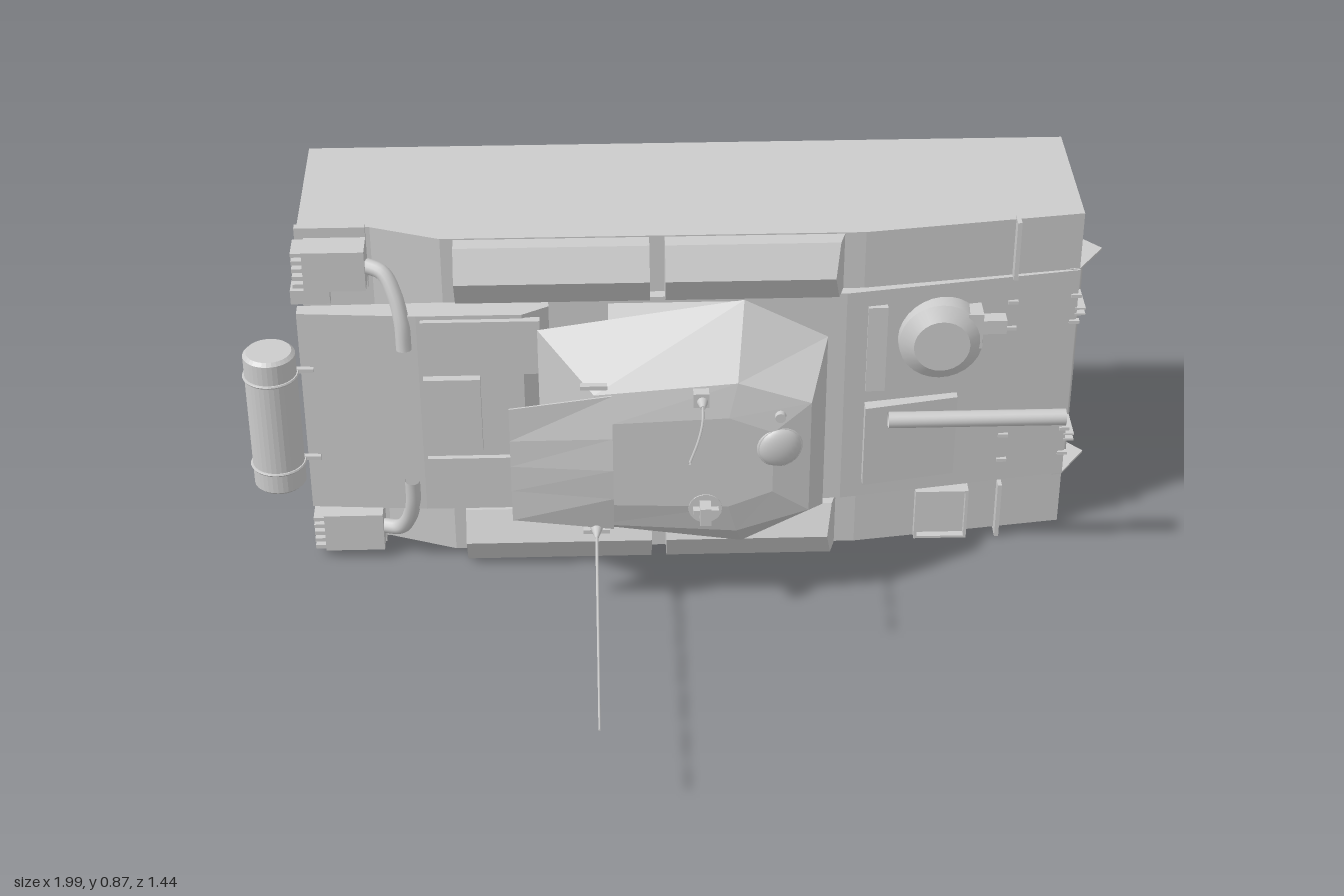
import * as THREE from 'three';

const MID = 0.435; // lateral centre line
const mat = new THREE.MeshStandardMaterial({ color: 0xcccccc, side: THREE.DoubleSide, flatShading: true });
const smooth = new THREE.MeshStandardMaterial({ color: 0xcccccc, side: THREE.DoubleSide });
const V = (x, y, z) => new THREE.Vector3(x, y, z);
const flip = (y, s) => MID + (y - MID) * s;

export function createModel() {
  const root = new THREE.Group();

  const add = (name, geo, material = mat) => {
    const m = new THREE.Mesh(geo, material);
    m.name = name;
    root.add(m);
    return m;
  };
  // Box from its extents
  const box = (name, x0, x1, y0, y1, z0, z1) => {
    const m = add(name, new THREE.BoxGeometry(x1 - x0, Math.abs(y1 - y0), z1 - z0));
    m.position.set((x0 + x1) / 2, (y0 + y1) / 2, (z0 + z1) / 2);
    return m;
  };
  // Profile in x,z extruded along y
  const slab = (name, pts, y0, y1) => {
    const shape = new THREE.Shape(pts.map(([x, z]) => new THREE.Vector2(x, -z)));
    const g = new THREE.ExtrudeGeometry(shape, { depth: Math.abs(y1 - y0), bevelEnabled: false });
    g.rotateX(-Math.PI / 2).translate(0, Math.min(y0, y1), 0);
    return add(name, g);
  };
  // Solid between two matching convex rings of points
  const loft = (name, a, b) => {
    const p = [];
    const tri = (...vs) => vs.forEach(v => p.push(...v));
    const n = a.length;
    for (let i = 0; i < n; i++) {
      const j = (i + 1) % n;
      tri(a[i], a[j], b[j]);
      tri(a[i], b[j], b[i]);
      if (i > 0 && i < n - 1) {
        tri(a[0], a[j], a[i]);
        tri(b[0], b[i], b[j]);
      }
    }
    const g = new THREE.BufferGeometry();
    g.setAttribute('position', new THREE.Float32BufferAttribute(p, 3));
    g.computeVertexNormals();
    return add(name, g);
  };
  const tube = (name, pts, r, seg = 20, sides = 10) =>
    add(name, new THREE.TubeGeometry(new THREE.CatmullRomCurve3(pts), seg, r, sides), smooth);
  // Upright (along z) cylinder or cone
  const post = (name, x, y, z0, z1, r0, r1 = r0, sides = 24) => {
    const g = new THREE.CylinderGeometry(r1, r0, z1 - z0, sides).rotateX(Math.PI / 2);
    return add(name, g.translate(x, y, (z0 + z1) / 2), smooth);
  };

  // Hull shell, open underneath
  const prof = [[-0.865, -0.72], [-0.865, -0.345], [-0.7, -0.335], [-0.54, -0.275],
    [0.42, -0.275], [0.925, -0.345], [0.925, -0.72]];
  const hp = [];
  for (let i = 0; i < prof.length - 1; i++) {
    const [ax, az] = prof[i], [bx, bz] = prof[i + 1];
    hp.push(ax, 0.01, az, bx, 0.01, bz, bx, 0.865, bz, ax, 0.01, az, bx, 0.865, bz, ax, 0.865, az);
  }
  const hg = new THREE.BufferGeometry();
  hg.setAttribute('position', new THREE.Float32BufferAttribute(hp, 3));
  hg.computeVertexNormals();
  add('hullShell', hg);
  const sideShape = new THREE.Shape(prof.map(([x, z]) => new THREE.Vector2(x, -z)));
  for (const y of [0.01, 0.865])
    add('hullSide', new THREE.ShapeGeometry(sideShape).rotateX(-Math.PI / 2).translate(0, y, 0));

  // Raised centre deck and sloping front plate
  slab('centreDeck', [[-0.3, -0.275], [-0.3, -0.25], [0.38, -0.25], [0.925, -0.338], [0.925, -0.348], [0.42, -0.277]], 0.155, 0.72);
  slab('engineDeck', [[-0.87, -0.27], [-0.87, -0.235], [-0.6, -0.215], [-0.36, -0.215], [-0.3, -0.25], [-0.3, -0.275], [-0.54, -0.275]], 0.17, 0.7);
  box('engineHatch', -0.59, -0.32, 0.55, 0.69, -0.22, -0.202);
  box('engineHatch', -0.59, -0.32, 0.18, 0.32, -0.22, -0.202);
  box('engineHatch', -0.59, -0.46, 0.335, 0.54, -0.22, -0.195);
  box('rearBracket', -0.89, -0.8, 0.675, 0.71, -0.37, -0.32);
  box('innerBracket', -0.865, -0.82, 0.4, 0.47, -0.4, -0.36);

  // Mirrored fittings on both sides
  for (const s of [1, -1]) {
    const f = y => flip(y, s);
    // Bevelled stowage bins
    const bin = [[0.72, -0.285], [0.72, -0.235], [0.79, -0.195], [0.862, -0.235], [0.862, -0.285]];
    for (const [x0, x1, t0, t1] of [[-0.51, -0.07, 0, 0], [-0.035, 0.375, 0, 0.3]])
      loft('stowageBin', bin.map(([y, z]) => [x0 + t0 * (z + 0.285), f(y), z]),
        bin.map(([y, z]) => [x1 - t1 * (z + 0.285), f(y), z]));

    // Exhaust silencer with fins and bent pipe
    box('rearFender', -0.87, -0.71, f(0.715), f(0.87), -0.345, -0.325);
    box('silencer', -0.85, -0.71, f(0.745), f(0.845), -0.33, -0.255);
    for (let i = 0; i < 5; i++) {
      const y = 0.752 + i * 0.02;
      box('silencerFin', -0.875, -0.85, f(y), f(y + 0.01), -0.325, -0.26);
    }
    tube('exhaustPipe', [V(-0.71, f(0.795), -0.285), V(-0.67, f(0.785), -0.265), V(-0.645, f(0.74), -0.24),
      V(-0.632, f(0.68), -0.22), V(-0.63, f(0.615), -0.212)], 0.018, 24, 12);

    // Front fender lip and towing plate
    box('fenderLip', 0.765, 0.775, f(0.72), f(0.87), -0.335, -0.295);
    slab('nosePlate', [[0.9, -0.338], [0.925, -0.343], [0.99, -0.435], [0.95, -0.48], [0.925, -0.48]], f(0.717), f(0.722));
    for (const y of [0.6, 0.615]) box('railBracket', 0.92, 0.945, f(y), f(y + 0.005), -0.42, -0.335);
    for (const x of [0.77, 0.92]) for (const y of [0.58, 0.65])
      box('plateHook', x - 0.012, x + 0.012, f(y), f(y + 0.008), -0.343, x < 0.8 ? -0.305 : -0.33);

    // Drum straps
    box('drumStrap', -0.94, -0.84, f(0.55), f(0.56), -0.235, -0.222);
    const strap = add('drumStrap', new THREE.TorusGeometry(0.061, 0.004, 6, 28).rotateX(Math.PI / 2));
    strap.position.set(-0.937, f(0.555), -0.215);

    // Turret hand holds
    box('handHold', -0.23, -0.17, f(0.625), f(0.635), -0.025, -0.01);
  }

  // Front rail
  tube('frontRail', [V(0.94, 0.155, -0.43), V(0.94, 0.72, -0.43)], 0.008, 1);

  // Fender locker frame
  box('locker', 0.57, 0.685, 0.02, 0.145, -0.31, -0.29);
  for (const x of [0.565, 0.685]) box('lockerRim', x, x + 0.007, 0.015, 0.15, -0.32, -0.272);
  for (const y of [0.015, 0.145]) box('lockerRim', 0.565, 0.692, y, y + 0.006, -0.32, -0.272);

  // Rear drum
  const drum = add('rearDrum', new THREE.LatheGeometry([[0, -0.18], [0.052, -0.18], [0.06, -0.172], [0.06, 0.172],
    [0.052, 0.18], [0, 0.18]].map(p => new THREE.Vector2(...p)), 32));
  drum.position.set(-0.937, 0.436, -0.215);

  // Driver's dome, periscope and front panels
  post('driverDome', 0.6, 0.587, -0.31, -0.25, 0.1, 0.097, 28);
  post('driverDomeCap', 0.6, 0.587, -0.25, -0.228, 0.097, 0.065, 28);
  box('driverPeriscope', 0.68, 0.75, 0.605, 0.64, -0.285, -0.25);
  box('domeBlock', 0.66, 0.695, 0.57, 0.66, -0.3, -0.245);
  box('visorEdge', 0.43, 0.475, 0.455, 0.68, -0.27, -0.25);
  slab('frontPanel', [[0.43, -0.275], [0.43, -0.228], [0.65, -0.272], [0.65, -0.31]], 0.205, 0.42);

  // Turret neck, body and roof cover
  const ring = (pts, z) => pts.map(([x, y]) => [x, MID + y, z]);
  const rect = (x0, x1, h) => [[x0, -h], [x1, -h], [x1, h], [x0, h]];
  loft('turretNeck', ring(rect(-0.165, 0.125, 0.3), -0.2), ring(rect(-0.165, 0.125, 0.28), -0.155));
  const outline = half => [...half.map(([x, y]) => [x, -y]), ...half.slice().reverse()];
  loft('turretBody', ring(outline([[-0.325, 0.26], [0.14, 0.33], [0.33, 0.23]]), -0.155),
    ring(outline([[-0.2, 0.175], [0.12, 0.2], [0.285, 0.145]]), -0.012));
  loft('turretRoof', ring(outline([[-0.2, 0.175], [0.12, 0.2], [0.285, 0.145]]), -0.012),
    ring(outline([[-0.16, 0.11], [0.1, 0.12], [0.2, 0.08]]), 0.006));
  const arch = (x, w, top, base) => [[x, MID - w, base], [x, MID - w, base + 0.004], [x, MID - w * 0.45, base + top * 0.8],
    [x, MID, base + top], [x, MID + w * 0.45, base + top * 0.8], [x, MID + w, base + 0.004], [x, MID + w, base]];
  loft('roofCover', arch(-0.39, 0.15, 0.008, -0.003), arch(-0.16, 0.18, 0.033, -0.003));

  // Roof hatches and sights
  const cupola = add('cupola', new THREE.SphereGeometry(0.05, 28, 14).scale(1, 1, 0.45), smooth);
  cupola.position.set(0.215, 0.472, -0.002);
  cupola.rotation.y = 0.15;
  const rim = add('cupolaRim', new THREE.TorusGeometry(0.047, 0.006, 8, 28), smooth);
  rim.position.set(0.215, 0.472, -0.002);
  rim.rotation.y = 0.15;
  post('roofKnob', 0.215, 0.553, -0.02, 0.008, 0.015, 0.012, 14);
  post('roofHatch', 0.048, 0.312, -0.015, 0.008, 0.042, 0.038);
  box('hatchSight', 0.035, 0.06, 0.29, 0.335, 0.005, 0.045);
  box('hatchSight', 0.02, 0.078, 0.305, 0.318, 0.005, 0.025);

  // Gun barrel
  tube('gunBarrel', [V(0.475, 0.438, -0.153), V(0.885, 0.438, -0.153)], 0.019, 1, 20);

  // Antennas: one bent, one straight
  box('antennaMount', 0.02, 0.055, 0.59, 0.625, -0.02, 0.015);
  post('antennaBase', 0.04, 0.605, 0.01, 0.04, 0.014, 0.006, 12);
  tube('bentAntenna', [V(0.04, 0.605, 0.03), V(0.037, 0.61, 0.1), V(0.024, 0.627, 0.2), V(0, 0.652, 0.325)], 0.003, 20, 6);
  post('antennaBase', -0.2, 0.255, -0.02, 0.035, 0.018, 0.004, 12);
  post('straightAntenna', -0.2, 0.255, 0.02, 0.717, 0.004, 0.0025, 6);
  return root;
}
